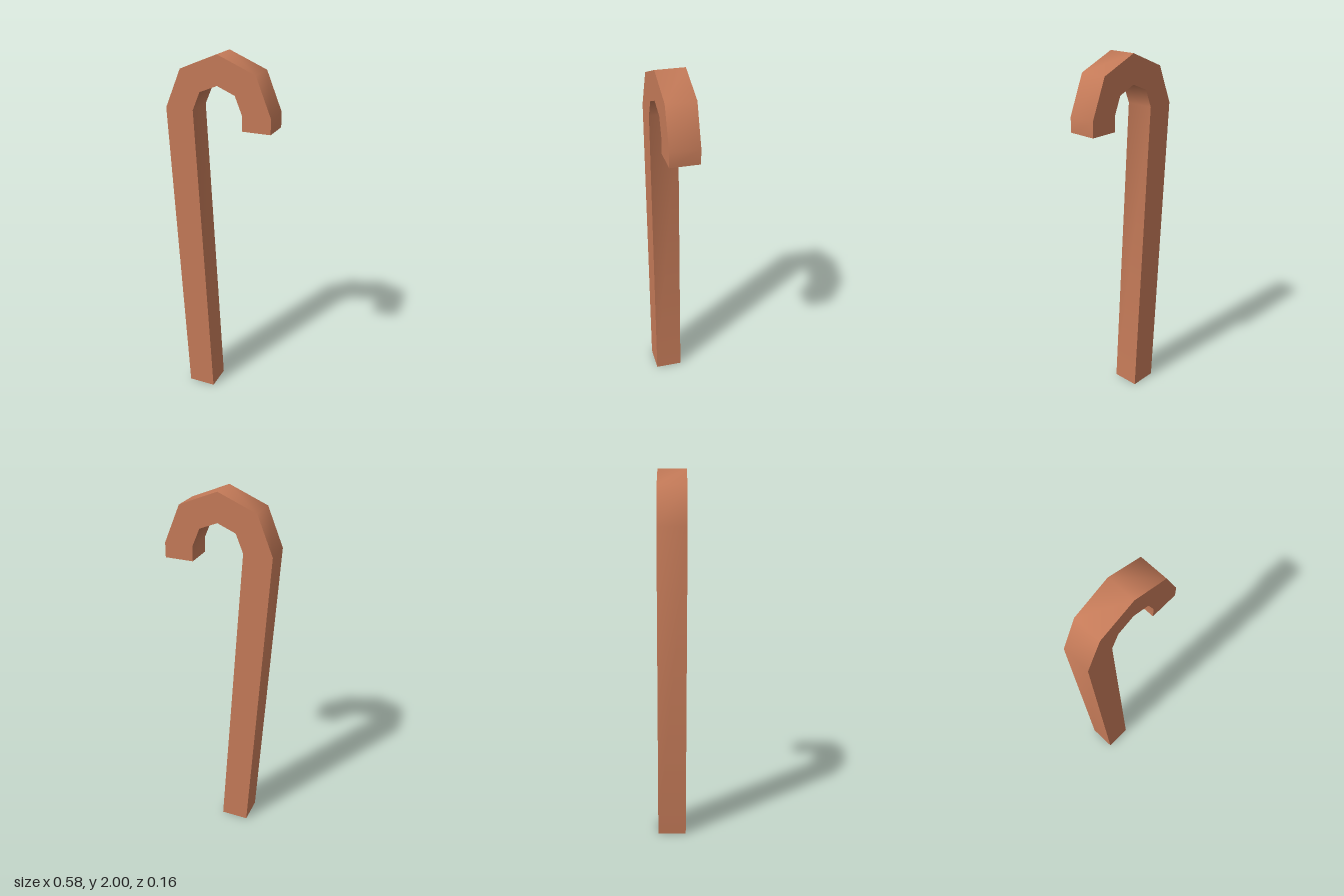
import * as THREE from 'three';
import { toCreasedNormals } from 'three/addons/utils/BufferGeometryUtils.js';

const DEPTH = 0.155;
const CROOK_Y = 1.71; // centre height of the crook's half circle
const OUTER = 0.291;
const INNER = 0.137;

// Four-segment half circle around the crook centre
function arc(radius, from, to) {
  return Array.from({ length: 5 }, (_, i) => {
    const a = from + ((to - from) * i) / 4;
    return new THREE.Vector2(radius * Math.cos(a), CROOK_Y + radius * Math.sin(a));
  });
}

export function createModel() {
  const model = new THREE.Group();
  model.name = 'cane';
  const copper = new THREE.MeshStandardMaterial({ color: 0xc47a58 });
  copper.name = 'copper';

  // Outline: foot, inner crook, short tip, outer crook (counter-clockwise)
  const outline = new THREE.Shape([
    new THREE.Vector2(-0.185, 0),
    new THREE.Vector2(-0.031, 0),
    ...arc(INNER, Math.PI, 0),
    new THREE.Vector2(INNER, 1.63),
    new THREE.Vector2(OUTER, 1.63),
    ...arc(OUTER, 0, Math.PI),
  ]);

  // Square-section bar, smooth round the bend and sharp along the edges
  const bar = new THREE.ExtrudeGeometry(outline, { depth: DEPTH, bevelEnabled: false });
  bar.translate(0, 0, -DEPTH / 2);
  const shaft = new THREE.Mesh(toCreasedNormals(bar, Math.PI / 3), copper);
  shaft.name = 'shaftAndCrook';
  model.add(shaft);
  return model;
}
